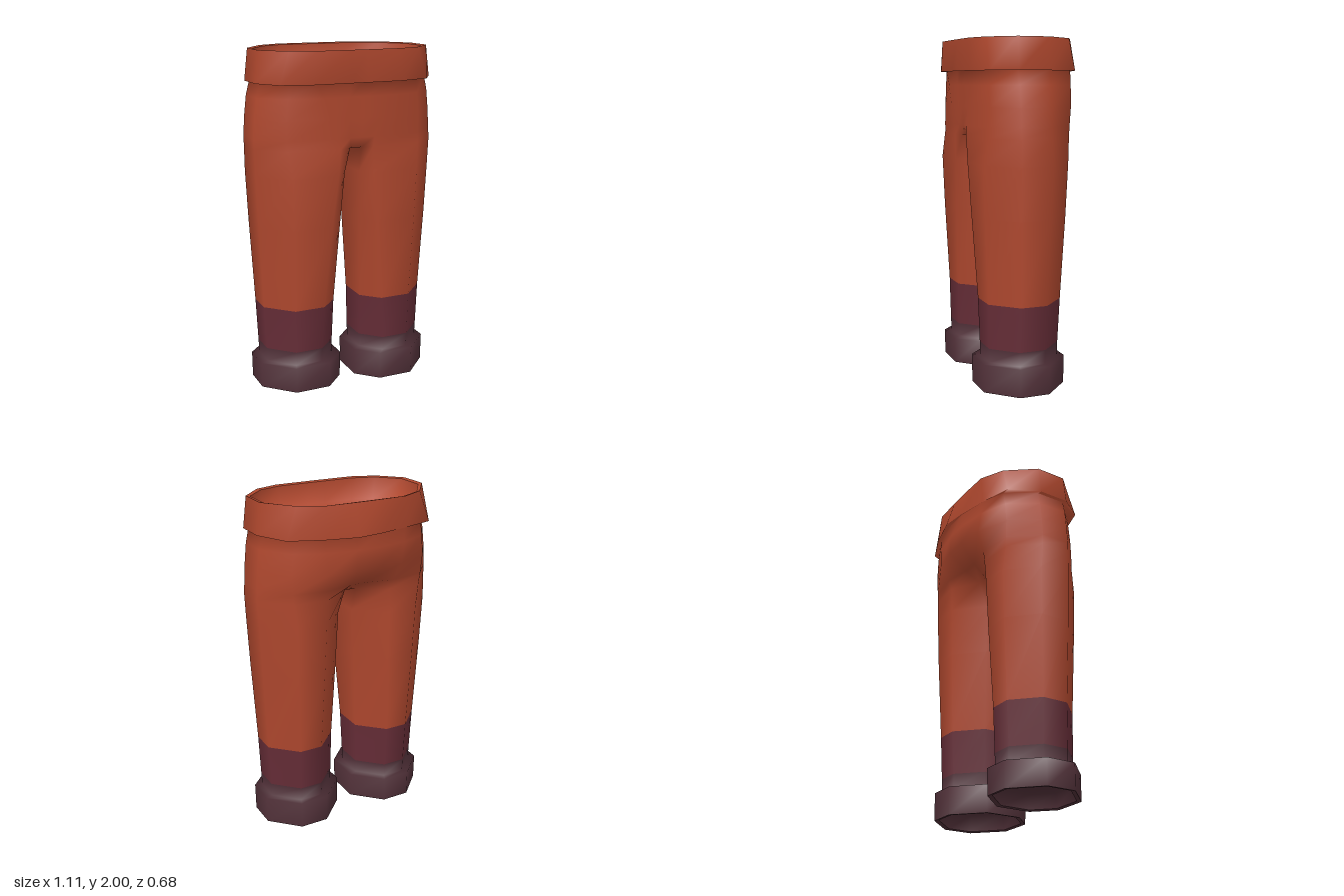
import * as THREE from 'three';

const flat = (name, color) => {
  const m = new THREE.MeshStandardMaterial({ color });
  m.name = name;
  return m;
};

// Indexed geometry with one material group per bucket of triangles
function buildGeometry(verts, buckets) {
  const g = new THREE.BufferGeometry();
  g.setAttribute('position', new THREE.Float32BufferAttribute(verts.flat(), 3));
  let start = 0;
  buckets.forEach((b, i) => {
    g.addGroup(start, b.length, i);
    start += b.length;
  });
  g.setIndex(buckets.flat());
  g.computeVertexNormals();
  return g;
}

// Joins two closed loops of vertex ids, lower first, facing outward
function bridge(lo, hi, out) {
  const n = lo.length;
  for (let i = 0; i < n; i++) {
    const j = (i + 1) % n;
    out.push(lo[i], lo[j], hi[j], lo[i], hi[j], hi[i]);
  }
}

// Smooth band through a list of rings
function band(rings, material, name) {
  const verts = [], tris = [];
  const ids = rings.map(r => r.map(p => verts.push(p) - 1));
  for (let i = 0; i + 1 < ids.length; i++) bridge(ids[i], ids[i + 1], tris);
  const mesh = new THREE.Mesh(buildGeometry(verts, [tris]), material);
  mesh.name = name;
  return mesh;
}

// Half ring of eight [x, z] points, running front centre -> side -> back centre
const half = (y, pts) => pts.map(([x, z]) => [x, y, z]);

// Eight-sided leg section in the same point order; c bevels the corners, f the inner front one
const octagon = (y, x0, x1, z0, z1, c, f) => half(y, [
  [x0, z1 - f], [x0 + f, z1], [x1 - c, z1], [x1, z1 - c],
  [x1, z0 + c], [x1 - c, z0], [x0 + c, z0], [x0, z0 + c]]);

const mirror = r => r.map(([x, y, z]) => [-x, y, z]).reverse();
const side = (r, s) => (s > 0 ? r : mirror(r)).map(([x, y, z]) => [x + 0.003, y, z]);
const full = r => [...r, ...mirror(r)];

// Shrinks a ring about its centre and sets its height
function shrink(ring, k, y) {
  const b = new THREE.Box3().setFromPoints(ring.map(p => new THREE.Vector3(...p)));
  const c = b.getCenter(new THREE.Vector3());
  return ring.map(([x, , z]) => [c.x + (x - c.x) * k, y, c.z + (z - c.z) * k]);
}

// Cuff section, pulled in by inset
const cuffRing = (y, inset) => octagon(y, 0.048 + inset, 0.541 - inset,
  -0.199 + inset, 0.3 - inset, 0.16 - inset * 0.4, 0.12 - inset * 0.4);

// Height of each cuff's hem: the left one hangs a little lower
const hemY = s => (s > 0 ? 0 : 0.012);

export function createModel() {
  const model = new THREE.Group();
  model.name = 'trousers';
  const rust = flat('rust cloth', 0xb0482e);
  const plum = flat('plum trim', 0x662d37);
  const dark = flat('dark plum cuff', 0x503038);

  // Leg sections from the cuff's hem to the crotch
  const legRings = s => [
    cuffRing(hemY(s), 0.002),
    cuffRing(0.165, 0),
    octagon(0.168, 0.094, 0.499, -0.161, 0.26, 0.135, 0.11),
    octagon(0.25, 0.092, 0.501, -0.163, 0.262, 0.135, 0.11),
    octagon(0.51, 0.087, 0.513, -0.175, 0.267, 0.143, 0.1),
    octagon(1.0, 0.06, 0.538, -0.2, 0.29, 0.155, 0.085),
    octagon(1.3, 0.045, 0.551, -0.212, 0.3, 0.162, 0.065),
    half(1.45, [[0.036, 0.285], [0.1, 0.304], [0.405, 0.276], [0.556, 0.14],
      [0.556, -0.04], [0.41, -0.205], [0.2, -0.22], [0.036, -0.11]]),
  ];

  // Waistband edges: flared lower edge, upper edge and inner rim
  const low = full(half(1.82, [[0.05, 0.34], [0.27, 0.338], [0.45, 0.286], [0.542, 0.15],
    [0.542, -0.035], [0.453, -0.22], [0.27, -0.285], [0.075, -0.33]]))
    .map(([x, y, z]) => [x, y, z < -0.25 ? z - 0.01 * Math.sign(x) : z]);
  const top = full(half(2, [[0.05, 0.335], [0.25, 0.333], [0.395, 0.281], [0.52, 0.147],
    [0.52, -0.037], [0.39, -0.21], [0.25, -0.282], [0.07, -0.288]]));
  const rim = full(half(1.995, [[0.05, 0.31], [0.24, 0.31], [0.38, 0.265], [0.495, 0.145],
    [0.495, -0.035], [0.375, -0.2], [0.24, -0.263], [0.07, -0.263]]));

  // Hip sections above the crotch, fuller at the seat, ending in the waistband
  const hipRings = [
    half(1.51, [[0.036, 0.3], [0.11, 0.306], [0.407, 0.274], [0.554, 0.14],
      [0.554, -0.04], [0.415, -0.207], [0.21, -0.237], [0.05, -0.205]]),
    half(1.62, [[0.04, 0.304], [0.16, 0.308], [0.41, 0.27], [0.547, 0.14],
      [0.547, -0.04], [0.425, -0.21], [0.23, -0.288], [0.07, -0.31]]),
    half(1.74, [[0.04, 0.307], [0.2, 0.309], [0.4, 0.268], [0.533, 0.142],
      [0.533, -0.04], [0.415, -0.212], [0.25, -0.28], [0.07, -0.31]]),
    half(1.825, [[0.04, 0.309], [0.24, 0.311], [0.39, 0.266], [0.512, 0.145],
      [0.512, -0.037], [0.4, -0.214], [0.25, -0.278], [0.07, -0.309]]),
  ].map(full).concat([low, top]);

  // Cuffs, legs, hips and waistband as one smooth skin, coloured by band
  const verts = [], buckets = [[], [], []];
  const add = ring => ring.map(p => verts.push(p) - 1);
  const bandColour = [2, 2, 2, 1, 0, 0, 0];
  const crotch = [1, -1].map(s => {
    const ids = legRings(s).map(r => add(side(r, s)));
    bandColour.forEach((c, i) => bridge(ids[i], ids[i + 1], buckets[c]));
    return ids[ids.length - 1];
  });
  let lower = [...crotch[0], ...crotch[1]];
  for (const r of hipRings) {
    const upper = add(r);
    bridge(lower, upper, buckets[0]);
    lower = upper;
  }
  // Crotch strip between the legs
  const [fl, bl, br, fr] = [crotch[0][0], crotch[0][7], crotch[1][0], crotch[1][7]];
  buckets[0].push(fl, fr, br, fl, br, bl);
  const body = new THREE.Mesh(buildGeometry(verts, buckets), [rust, plum, dark]);
  body.name = 'legsAndHips';
  model.add(body);

  // Hollow top of the waistband
  const waist = new THREE.Group();
  waist.name = 'waistOpening';
  waist.add(
    band([top, rim], rust, 'waistbandRim'),
    band([rim, shrink(rim, 0.96, 1.87), shrink(rim, 0.5, 1.85), shrink(rim, 0, 1.845)],
      rust, 'waistbandInside'));
  model.add(waist);

  // Hollow undersides of the cuffs
  for (const s of [1, -1]) {
    const cuff = new THREE.Group();
    cuff.name = s > 0 ? 'leftCuffOpening' : 'rightCuffOpening';
    const inner = side(cuffRing(hemY(s) + 0.004, 0.024), s);
    cuff.add(
      band([shrink(inner, 0, 0.12), shrink(inner, 0.5, 0.118), shrink(inner, 0.94, 0.1), inner],
        dark, 'cuffInside'),
      band([inner, side(cuffRing(hemY(s), 0.002), s)], dark, 'cuffHem'));
    model.add(cuff);
  }
  return model;
}
